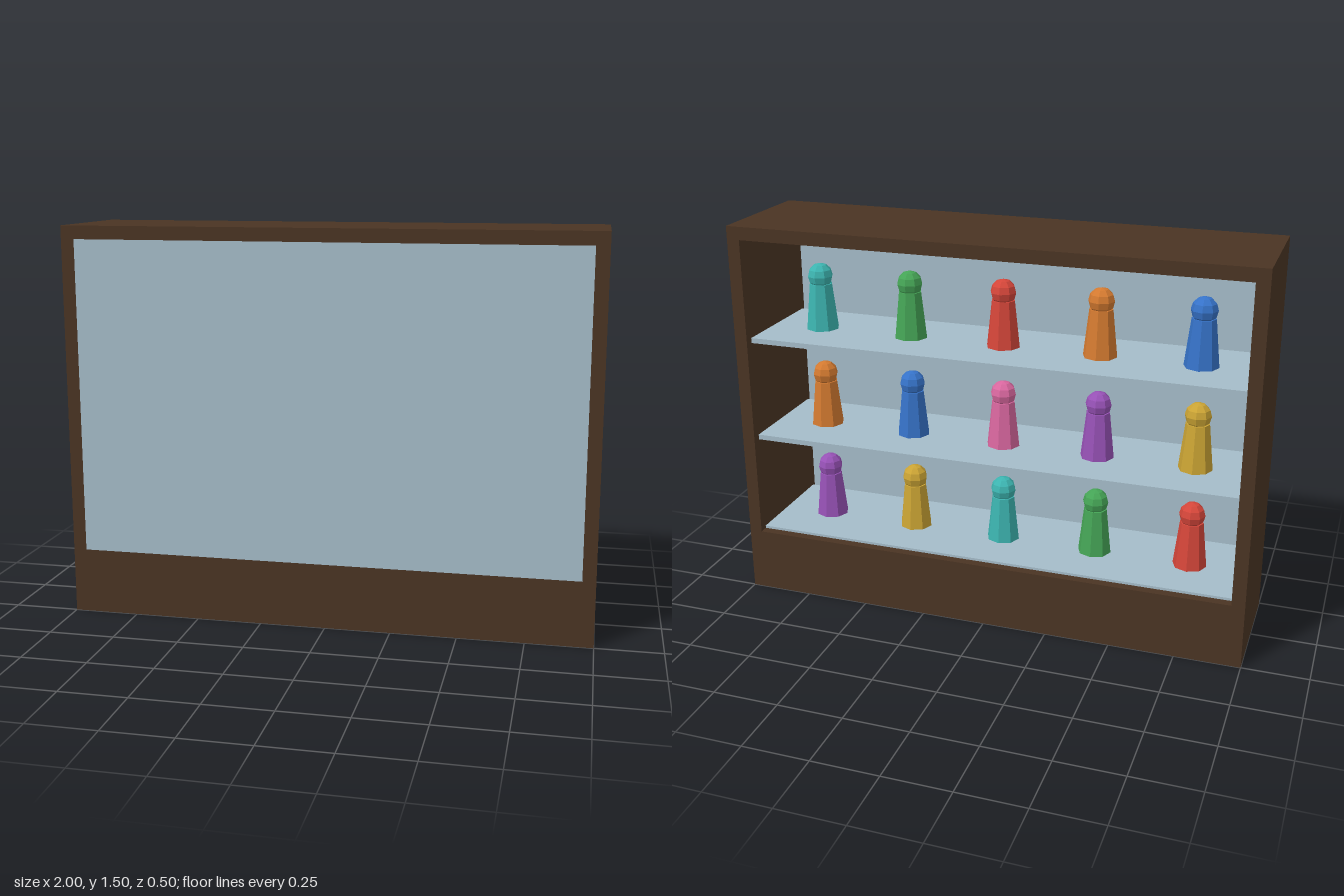
import * as THREE from 'three';

const mat = (name, color) => {
  const m = new THREE.MeshStandardMaterial({ color });
  m.name = name;
  return m;
};

export function createModel() {
  const group = new THREE.Group();
  group.name = 'displayCabinet';

  const wood = mat('dark wood', 0x4a3423);
  const glass = mat('pale blue glass', 0xa5bcc9);
  const paint = {
    teal: mat('teal', 0x3cb4b0),
    green: mat('green', 0x45a556),
    red: mat('red', 0xd5463a),
    orange: mat('orange', 0xd47a30),
    blue: mat('blue', 0x3673c9),
    pink: mat('pink', 0xd9679f),
    purple: mat('purple', 0x9751b6),
    yellow: mat('yellow', 0xcba434),
  };

  const box = (name, material, w, h, d, x, y, z) => {
    const mesh = new THREE.Mesh(new THREE.BoxGeometry(w, h, d), material);
    mesh.name = name;
    mesh.position.set(x, y, z);
    group.add(mesh);
  };

  // Open-backed frame: base, top and two side panels
  box('base', wood, 2, 0.25, 0.5, 0, 0.125, 0);
  box('topPanel', wood, 2, 0.05, 0.5, 0, 1.475, 0);
  for (const s of [-1, 1]) {
    box(s > 0 ? 'leftPanel' : 'rightPanel', wood, 0.05, 1.2, 0.5, s * 0.975, 0.85, 0);
  }

  // Front pane, flush with the frame
  box('frontPane', glass, 1.9, 1.2, 0.02, 0, 0.85, 0.24);

  // Figures: faceted cone body and ball head
  const flat = (g) => {
    const f = g.toNonIndexed();
    f.computeVertexNormals();
    return f;
  };
  const bodyGeo = flat(new THREE.CylinderGeometry(0.045, 0.065, 0.18, 8));
  const headGeo = flat(new THREE.SphereGeometry(0.05, 8, 6));
  const addFigure = (color, x, y) => {
    const figure = new THREE.Group();
    figure.name = color + 'Figure';
    const body = new THREE.Mesh(bodyGeo, paint[color]);
    body.name = 'body';
    body.position.y = 0.09;
    const head = new THREE.Mesh(headGeo, paint[color]);
    head.name = 'head';
    head.position.y = 0.21;
    figure.add(body, head);
    figure.position.set(x, y, 0);
    group.add(figure);
  };

  // Three shelves, bottom to top, each with five figures from -x to +x
  const rows = [
    ['red', 'green', 'teal', 'yellow', 'purple'],
    ['yellow', 'purple', 'pink', 'blue', 'orange'],
    ['blue', 'orange', 'red', 'green', 'teal'],
  ];
  rows.forEach((row, i) => {
    const y = 0.25 + i * 0.4;
    box('shelf', glass, 1.9, 0.02, 0.43, 0, y, 0);
    row.forEach((color, j) => addFigure(color, (j - 2) * 0.375, y + 0.01));
  });

  return group;
}
